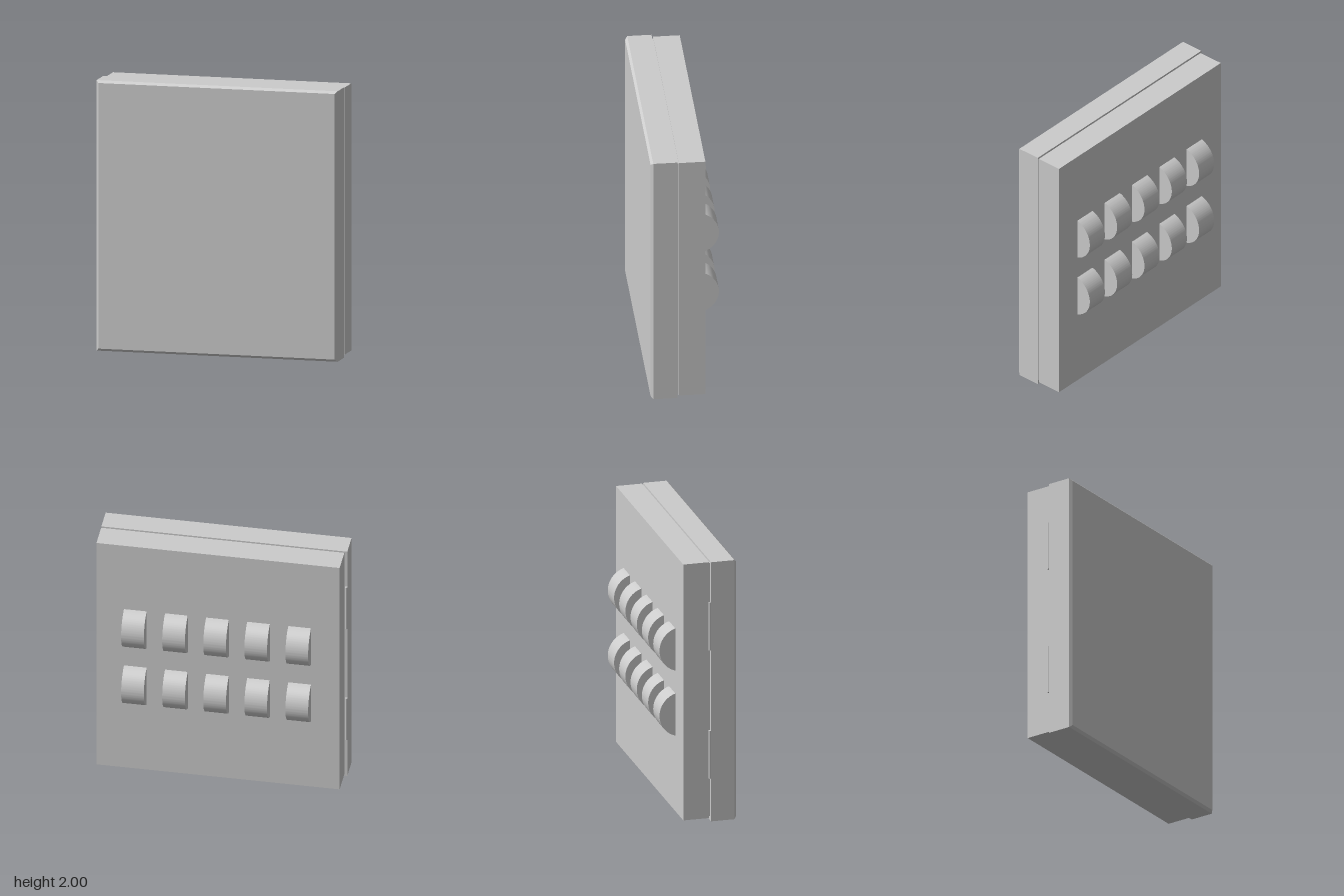
import * as THREE from 'three';
import { toCreasedNormals } from 'three/addons/utils/BufferGeometryUtils.js';

const grey = new THREE.MeshStandardMaterial({ color: 0xcccccc });

function addMesh(parent, name, geometry, x, y, z) {
  const mesh = new THREE.Mesh(geometry, grey);
  mesh.name = name;
  mesh.position.set(x, y, z);
  parent.add(mesh);
  return mesh;
}

// Slab whose front edges are chamfered
function chamferedSlab(w, h, d, c) {
  const geo = new THREE.BoxGeometry(w, h, d, 1, 1, 2);
  const p = geo.attributes.position;
  for (let i = 0; i < p.count; i++) {
    if (Math.abs(p.getZ(i)) < 1e-6) p.setZ(i, d / 2 - c);
    else if (p.getZ(i) > 0) {
      p.setX(i, p.getX(i) - Math.sign(p.getX(i)) * c);
      p.setY(i, p.getY(i) - Math.sign(p.getY(i)) * c);
    }
  }
  return toCreasedNormals(geo, 0.3);
}

// Round segment bulging towards -z, with its axis along x
function boltGeometry(radius, offset, width) {
  const a = Math.acos(offset / radius);
  const shape = new THREE.Shape();
  shape.absarc(0, 0, radius, -a, a, false);
  shape.closePath();
  const geo = new THREE.ExtrudeGeometry(shape, { depth: width, bevelEnabled: false, curveSegments: 32 });
  geo.translate(0, 0, -width / 2);
  geo.rotateY(Math.PI / 2);
  return toCreasedNormals(geo, 0.5);
}

export function createModel() {
  const model = new THREE.Group();
  model.name = 'safeDoor';

  // Front panel, rear body and the recessed seam between them
  addMesh(model, 'frontPanel', chamferedSlab(1.82, 2, 0.195, 0.018), 0, 1, 0.1625);
  addMesh(model, 'rearBody', new THREE.BoxGeometry(1.8, 1.975, 0.195), 0.01, 1.0075, -0.0425);
  addMesh(model, 'seam', new THREE.BoxGeometry(1.78, 1.955, 0.02), 0.01, 1.0075, 0.06);

  // Two hinge pins along the right edge
  for (const y of [0.515, 1.505]) {
    addMesh(model, 'hingePin', new THREE.CylinderGeometry(0.01, 0.01, 0.37, 16), -0.903, y, 0.057);
  }

  // Two rows of five rounded blocks on the back
  const bolt = boltGeometry(0.17, 0.05, 0.168);
  for (const y of [0.766, 1.268]) {
    for (let i = -2; i <= 2; i++) {
      addMesh(model, 'roundedBlock', bolt, 0.014 + i * 0.304, y, -0.09);
    }
  }
  return model;
}
